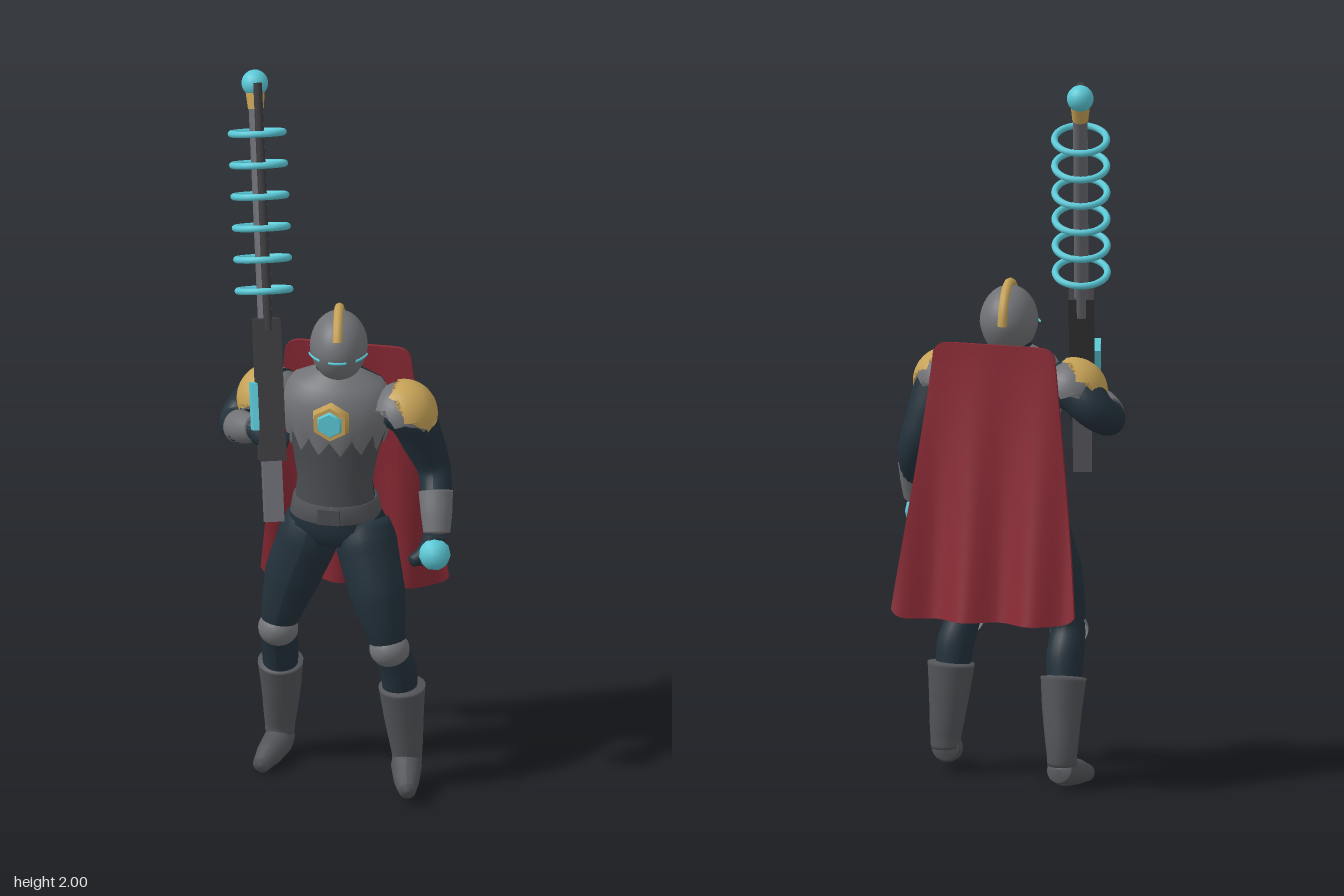
import * as THREE from 'three';

const mat = (name, color) => new THREE.MeshStandardMaterial({ name, color, side: THREE.DoubleSide });
const M = {
  suit: mat('darkSuit', 0x23313b), armour: mat('armourGrey', 0x717276), boot: mat('bootGrey', 0x525458),
  plate: mat('bellyGrey', 0x4a4d51), gun: mat('gunDark', 0x3a3a3d), barrel: mat('barrelGrey', 0x696a71),
  gold: mat('gold', 0xc6a257), cyan: mat('glowCyan', 0x5ac8d6), red: mat('capeRed', 0x8b2a35),
};
const V = (x, y, z) => new THREE.Vector3(x, y, z);

function add(parent, name, geo, material, pos = [0, 0, 0], rot = [0, 0, 0], scale = [1, 1, 1]) {
  const m = new THREE.Mesh(geo, material);
  m.name = name;
  m.position.set(...pos);
  m.rotation.set(...rot);
  m.scale.set(...scale);
  parent.add(m);
  return m;
}

// Rounded limb through points [x, y, z, radius]
function limb(pts, sides = 20) {
  const curve = new THREE.CatmullRomCurve3(pts.map(p => V(p[0], p[1], p[2])));
  const N = 28, geo = new THREE.TubeGeometry(curve, N, 1, sides, false);
  const pos = geo.attributes.position, v = V(0, 0, 0);
  for (let i = 0; i <= N; i++) {
    const f = curve.getUtoTmapping(i / N) * (pts.length - 1);
    const k = Math.min(Math.floor(f), pts.length - 2);
    const r = i === 0 || i === N ? 0 : THREE.MathUtils.lerp(pts[k][3], pts[k + 1][3], f - k);
    const c = curve.getPointAt(i / N);
    for (let j = 0; j <= sides; j++) {
      const n = i * (sides + 1) + j;
      v.fromBufferAttribute(pos, n).sub(c).multiplyScalar(r).add(c);
      pos.setXYZ(n, v.x, v.y, v.z);
    }
  }
  geo.computeVertexNormals();
  return geo;
}

// Oval shell from top to bottom, sections [y, centreX, centreZ, radiusX, radiusZ]
function shell(sections, start = 0, arc = Math.PI * 2, jag = 0) {
  const n = sections.length - 1, seg = 48;
  const geo = new THREE.CylinderGeometry(1, 1, 1, seg, n, true, start, arc);
  const p = geo.attributes.position, uv = geo.attributes.uv;
  for (let i = 0; i < p.count; i++) {
    const row = Math.round((1 - uv.getY(i)) * n), col = Math.round(uv.getX(i) * seg);
    const [y, cx, cz, rx, rz] = sections[row];
    const tooth = row === n ? jag * Math.abs((col % 6) - 3) / 3 : 0;
    p.setXYZ(i, cx + p.getX(i) * rx, y + tooth, cz + p.getZ(i) * rz);
  }
  geo.computeVertexNormals();
  return geo;
}

// Domed cap with a toothed rim, pointing along dir
function cap(parent, name, material, centre, dir, size, angle, jag) {
  const seg = 36, rows = 8;
  const geo = new THREE.SphereGeometry(1, seg, rows, 0, Math.PI * 2, 0, angle);
  const p = geo.attributes.position;
  for (let j = 0; j <= seg; j++) {
    const a = angle - jag * Math.abs((j % 6) - 3) / 3, t = j / seg * Math.PI * 2;
    p.setXYZ(rows * (seg + 1) + j, -Math.cos(t) * Math.sin(a), Math.cos(a), Math.sin(t) * Math.sin(a));
  }
  geo.computeVertexNormals();
  const m = add(parent, name, geo, material, centre, [0, 0, 0], size);
  m.quaternion.setFromUnitVectors(V(0, 1, 0), V(...dir).normalize());
}

function buildTorso(g) {
  add(g, 'torso', shell([[1.23, 0, 0, 0, 0], [1.21, 0, -0.01, 0.07, 0.06], [1.18, 0, -0.01, 0.13, 0.085],
    [1.13, 0, 0, 0.155, 0.1], [1.06, 0, 0, 0.145, 0.103], [0.98, 0, 0.008, 0.115, 0.093], [0.9, 0, 0.015, 0.1, 0.085],
    [0.83, 0, 0.015, 0.11, 0.088], [0.77, 0.005, 0.015, 0.14, 0.095], [0.72, 0.01, 0.015, 0.1, 0.08],
    [0.69, 0.01, 0.015, 0, 0]]), M.suit);
  add(g, 'chestPlate', shell([[1.222, 0, 0, 0.055, 0.05], [1.19, 0, 0, 0.125, 0.09], [1.14, 0, 0.003, 0.16, 0.107],
    [1.08, 0, 0.003, 0.158, 0.114], [1.0, 0, 0.005, 0.13, 0.106]], -0.6 * Math.PI, 1.2 * Math.PI, 0.04), M.armour);
  add(g, 'bellyPlate', shell([[1.05, 0, 0.006, 0.138, 0.105], [0.98, 0, 0.01, 0.12, 0.098], [0.9, 0, 0.016, 0.106, 0.091],
    [0.82, 0, 0.016, 0.115, 0.093]], -0.45 * Math.PI, 0.9 * Math.PI), M.plate);
  add(g, 'belt', shell([[0.848, 0, 0.015, 0.108, 0.088], [0.845, 0, 0.015, 0.118, 0.1], [0.795, 0, 0.015, 0.127, 0.102],
    [0.79, 0, 0.015, 0.118, 0.09]]), M.boot);
  add(g, 'beltBuckle', new THREE.BoxGeometry(0.06, 0.045, 0.012), M.plate, [0, 0.82, 0.118]);
  // Chest gem
  add(g, 'gemSetting', new THREE.CylinderGeometry(0.05, 0.058, 0.022, 6), M.gold, [0.005, 1.105, 0.12], [Math.PI / 2, 0, 0]);
  add(g, 'gem', new THREE.CylinderGeometry(0.034, 0.042, 0.014, 6), M.cyan, [0.005, 1.105, 0.132], [Math.PI / 2, 0, 0]);
  add(g, 'neck', new THREE.CylinderGeometry(0.055, 0.065, 0.08, 20), M.suit, [0, 1.215, -0.005]);
}

function buildHead(g) {
  const head = new THREE.Group();
  head.name = 'head';
  head.position.set(0.005, 1.285, 0);
  head.rotation.y = 0.15;
  g.add(head);
  const helm = new THREE.SphereGeometry(0.1, 32, 24), p = helm.attributes.position;
  for (let i = 0; i < p.count; i++) {
    const k = p.getY(i) < 0 ? 1 + p.getY(i) * 1.2 : 1;
    p.setXYZ(i, p.getX(i) * 0.8 * k, p.getY(i), p.getZ(i) * 1.03 * k);
  }
  helm.computeVertexNormals();
  add(head, 'helmet', helm, M.armour);
  const crest = new THREE.TorusGeometry(0.107, 0.012, 8, 32, 2.6).rotateZ(0.5).rotateY(-Math.PI / 2);
  add(head, 'crest', crest, M.gold, [0, 0, 0], [0, 0, 0], [1.1, 1, 1]);
  for (const a of [-0.95, 0, 0.95]) {
    const strip = new THREE.TorusGeometry(0.1, 0.0035, 6, 16, 0.6).rotateZ(Math.PI / 2 - 0.3).rotateX(Math.PI / 2).rotateY(a);
    add(head, 'visorStrip', strip, M.cyan, [0, -0.005, 0.004], [0, 0, 0], [0.84, 1, 1.06]);
  }
}

function buildArms(g) {
  add(g, 'leftArm', limb([[0.14, 1.13, 0, 0.065], [0.2, 1.1, 0, 0.068], [0.235, 1.01, -0.025, 0.058],
    [0.265, 0.92, -0.035, 0.046], [0.28, 0.84, 0.015, 0.042], [0.285, 0.76, 0.055, 0.03]]), M.suit);
  add(g, 'leftGauntlet', limb([[0.276, 0.875, 0, 0.048], [0.284, 0.82, 0.03, 0.044], [0.29, 0.765, 0.055, 0.037]]), M.armour);
  add(g, 'leftHand', limb([[0.285, 0.77, 0.055, 0.03], [0.27, 0.72, 0.07, 0.034], [0.225, 0.7, 0.11, 0.014]]), M.suit);
  const orb = new THREE.IcosahedronGeometry(0.045, 1);
  add(g, 'handOrb', orb, M.cyan, [0.29, 0.72, 0.088]);
  add(g, 'rightArm', limb([[-0.13, 1.13, -0.01, 0.065], [-0.2, 1.11, -0.03, 0.066], [-0.26, 1.06, -0.045, 0.055],
    [-0.285, 1.03, -0.01, 0.046], [-0.255, 1.04, 0.06, 0.042], [-0.19, 1.07, 0.12, 0.028]]), M.suit);
  add(g, 'rightGauntlet', limb([[-0.27, 1.035, 0.035, 0.047], [-0.24, 1.05, 0.075, 0.044], [-0.205, 1.065, 0.105, 0.036]]), M.armour);
  add(g, 'rightHand', limb([[-0.2, 1.06, 0.12, 0.03], [-0.15, 1.06, 0.155, 0.034], [-0.105, 1.05, 0.15, 0.025]]), M.suit);
  // Layered shoulder guards
  for (const [s, z] of [[1, 0.015], [-1, -0.02]]) {
    const side = s > 0 ? 'left' : 'right';
    cap(g, side + 'ShoulderGuard', M.armour, [s * 0.185, 1.105, z], [s * 0.35, 1, 0], [0.088, 0.085, 0.095], 1.65, 0.4);
    cap(g, side + 'ShoulderCap', M.gold, [s * 0.19, 1.105, z], [s * 0.75, 0.8, 0.2], [0.094, 0.092, 0.098], 1.15, 0.4);
  }
}

function buildLegs(g) {
  const legs = {
    left: { thigh: [[0.07, 0.79, 0.015, 0.07], [0.088, 0.72, 0.035, 0.086], [0.13, 0.58, 0.08, 0.077], [0.165, 0.44, 0.095, 0.047],
      [0.185, 0.36, 0.075, 0.052], [0.19, 0.25, 0.06, 0.045]],
    boot: [[0.194, 0.315, 0.065, 0.066], [0.198, 0.22, 0.058, 0.056], [0.206, 0.1, 0.052, 0.042], [0.206, 0.06, 0.052, 0.04]],
    foot: [[0.2, 0.075, 0.025, 0.036], [0.208, 0.068, 0.07, 0.043], [0.22, 0.052, 0.13, 0.036], [0.235, 0.044, 0.195, 0.022]],
    knee: [0.167, 0.43, 0.1] },
    right: { thigh: [[-0.06, 0.79, 0.01, 0.07], [-0.075, 0.72, 0.01, 0.086], [-0.125, 0.58, 0.01, 0.077], [-0.16, 0.44, 0.015, 0.047],
      [-0.162, 0.36, -0.015, 0.052], [-0.165, 0.25, -0.04, 0.045]],
    boot: [[-0.165, 0.315, -0.035, 0.064], [-0.167, 0.22, -0.055, 0.055], [-0.175, 0.1, -0.08, 0.042], [-0.175, 0.06, -0.08, 0.04]],
    foot: [[-0.17, 0.06, -0.1, 0.036], [-0.177, 0.048, -0.06, 0.042], [-0.19, 0.036, 0, 0.036], [-0.205, 0.022, 0.06, 0.022]],
    knee: [-0.16, 0.43, 0.02] },
  };
  for (const [side, l] of Object.entries(legs)) {
    add(g, side + 'Leg', limb(l.thigh), M.suit);
    add(g, side + 'Boot', limb(l.boot), M.boot);
    add(g, side + 'Foot', limb(l.foot), M.boot);
    cap(g, side + 'KneePad', M.armour, l.knee, [0, 0.1, 1], [0.056, 0.055, 0.052], 1.7, 0.25);
  }
}

// Rippled cape, widening and swinging back toward the hem
function buildCape(g) {
  const geo = new THREE.BoxGeometry(1, 1, 0.01, 48, 24, 1), p = geo.attributes.position;
  for (let i = 0; i < p.count; i++) {
    const t = 0.5 - p.getY(i), u = p.getX(i) * 2;
    const x = 0.008 + u * (0.175 + 0.085 * t);
    const edge = Math.pow(Math.abs(u), 14) * 0.025;
    const y = 1.24 - 0.76 * t + edge * (2 * t - 1);
    const wave = 0.021 * t * Math.cos((x + 0.13) / 0.19 * Math.PI * 2);
    p.setXYZ(i, x, y, -0.12 - 0.095 * Math.pow(t, 1.4) - wave + p.getZ(i));
  }
  geo.computeVertexNormals();
  add(g, 'cape', geo, M.red);
}

function buildRifle(g) {
  const tip = V(-0.27, 1.963, -0.205), end = V(-0.135, 0.84, 0.215);
  const y = tip.clone().sub(end), len = y.length();
  y.normalize();
  const x = V(0, 0, 0).crossVectors(y, V(0.31, 0, 0.95)).normalize();
  const rifle = new THREE.Group();
  rifle.name = 'rifle';
  rifle.position.copy(end);
  rifle.quaternion.setFromRotationMatrix(new THREE.Matrix4().makeBasis(x, y, x.clone().cross(y)));
  g.add(rifle);
  add(rifle, 'barrel', new THREE.CylinderGeometry(0.02, 0.02, len - 0.5, 16), M.barrel, [0, (len + 0.5) / 2, 0]);
  add(rifle, 'stock', new THREE.BoxGeometry(0.052, 0.22, 0.05), M.barrel, [0, 0.11, 0.008]);
  add(rifle, 'receiver', new THREE.BoxGeometry(0.07, 0.39, 0.09), M.gun, [0, 0.365, 0.03]);
  add(rifle, 'rail', new THREE.CylinderGeometry(0.012, 0.012, 0.68, 8), M.gun, [0, 0.87, 0.068]);
  add(rifle, 'sidePanel', new THREE.BoxGeometry(0.02, 0.13, 0.065), M.cyan, [-0.042, 0.32, 0.03]);
  add(rifle, 'muzzleCollar', new THREE.CylinderGeometry(0.027, 0.022, 0.05, 16), M.gold, [0, len - 0.045, 0]);
  add(rifle, 'muzzleOrb', new THREE.SphereGeometry(0.037, 18, 12), M.cyan, [0, len, 0]);
  const ring = new THREE.TorusGeometry(0.072, 0.0095, 10, 36);
  for (let i = 0; i < 6; i++) add(rifle, 'coilRing', ring, M.cyan, [0, 0.637 + i * 0.0865, 0.006], [Math.PI / 2, 0, 0]);
}

export function createModel() {
  const g = new THREE.Group();
  g.name = 'armouredHero';
  for (const build of [buildTorso, buildHead, buildArms, buildLegs, buildCape, buildRifle]) build(g);
  return g;
}
